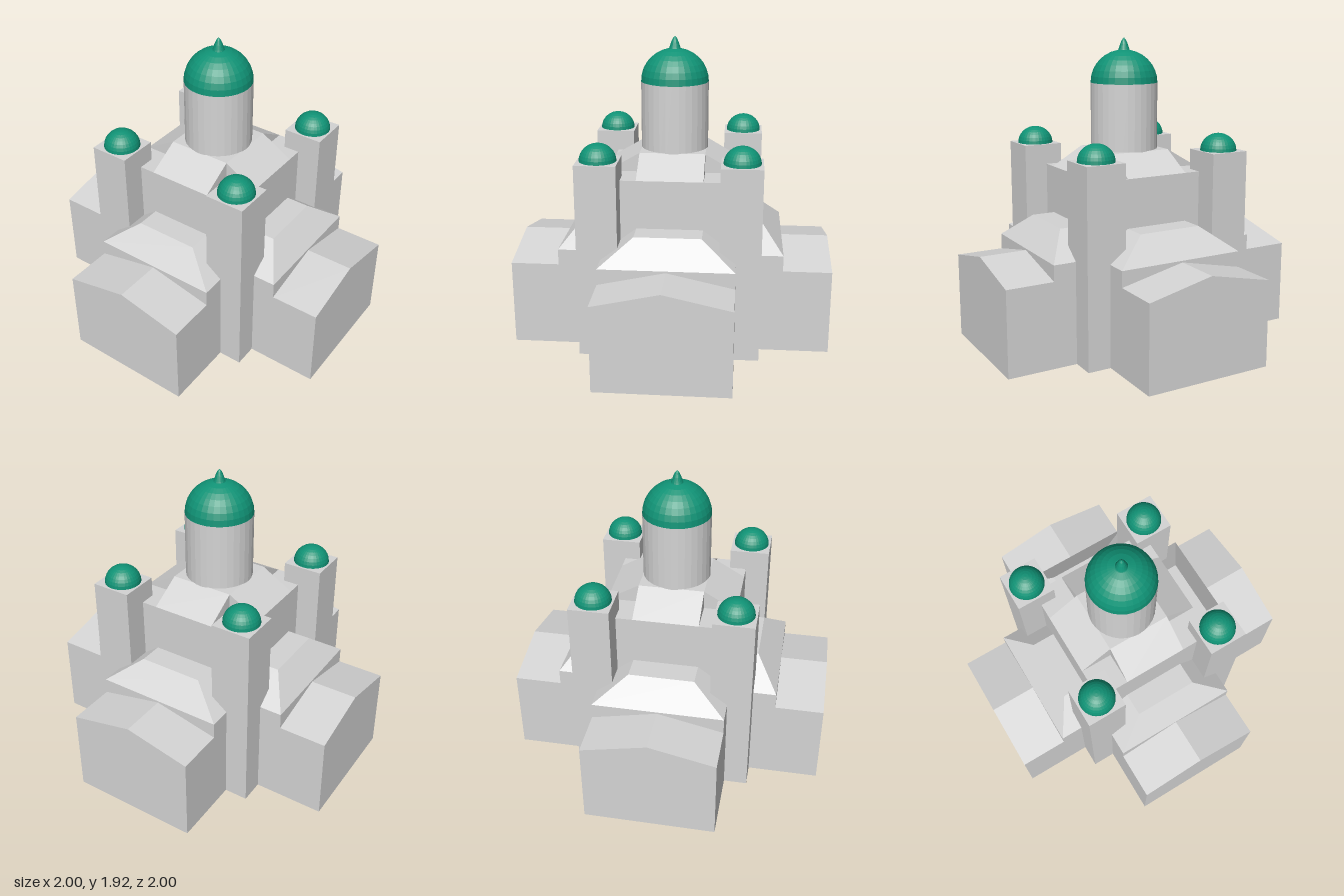
import * as THREE from 'three';

const stone = new THREE.MeshStandardMaterial({ color: 0xd4d4d4, flatShading: true });
stone.name = 'pale stone';
const green = new THREE.MeshStandardMaterial({ color: 0x109376, flatShading: true });
green.name = 'green copper';

function part(parent, name, geometry, material, x = 0, y = 0, z = 0) {
  const mesh = new THREE.Mesh(geometry, material);
  mesh.name = name;
  mesh.position.set(x, y, z);
  parent.add(mesh);
  return mesh;
}

// Box given by its limits
function block(parent, name, x0, x1, y0, y1, z0, z1) {
  return part(parent, name, new THREE.BoxGeometry(x1 - x0, y1 - y0, z1 - z0), stone,
    (x0 + x1) / 2, (y0 + y1) / 2, (z0 + z1) / 2);
}

// Tapered solid between two rectangles, each [x0, x1, z0, z1]
function taper(bottom, top, y0, y1) {
  const geometry = new THREE.BoxGeometry(1, 1, 1);
  const p = geometry.attributes.position;
  for (let i = 0; i < p.count; i++) {
    const r = p.getY(i) > 0 ? top : bottom;
    p.setXYZ(i, p.getX(i) > 0 ? r[1] : r[0], p.getY(i) > 0 ? y1 : y0, p.getZ(i) > 0 ? r[3] : r[2]);
  }
  geometry.computeVertexNormals();
  return geometry;
}

function dome(radius, height, segments, rows) {
  return new THREE.SphereGeometry(radius, segments, rows, 0, Math.PI * 2, 0, Math.PI / 2)
    .scale(1, height / radius, 1);
}

export function createModel() {
  const model = new THREE.Group();
  model.name = 'domedChurch';
  const W = 0.41; // half width of the core and the arms

  block(model, 'core', -W, W, 0, 1.1, -W, W);

  // Four equal arms: gabled porch, shoulder block and hipped roof
  const gable = new THREE.Shape([
    [-W, 0], [W, 0], [W, 0.54], [0, 0.63], [-W, 0.54],
  ].map(([x, y]) => new THREE.Vector2(x, y)));
  const porchGeometry = new THREE.ExtrudeGeometry(gable, { depth: 0.3, bevelEnabled: false });
  const hipGeometry = taper([-W, W, 0.38, 0.7], [-0.205, 0.205, 0.38, 0.56], 0.64, 0.795);
  for (let i = 0; i < 4; i++) {
    const arm = new THREE.Group();
    arm.name = 'arm';
    arm.rotation.y = i * Math.PI / 2;
    part(arm, 'gabledPorch', porchGeometry, stone, 0, 0, 0.7);
    block(arm, 'armShoulder', -W, W, 0, 0.64, W, 0.7);
    part(arm, 'hippedRoof', hipGeometry, stone);
    model.add(arm);
  }

  // Crossing roof: two sloped prisms over the core
  const slope = taper([-0.205, 0.205, -W, W], [-0.205, 0.205, -0.205, 0.205], 1.1, 1.22);
  for (const turn of [0, Math.PI / 2]) part(model, 'crossingRoof', slope, stone).rotation.y = turn;

  // Corner towers with small domes
  for (const sx of [-1, 1]) {
    for (const sz of [-1, 1]) {
      const tower = new THREE.Group();
      tower.name = 'cornerTower';
      tower.position.set(sx * 0.432, 0, sz < 0 ? -0.436 : 0.43);
      block(tower, 'towerShaft', -0.126, 0.126, 0, 1.23, -0.126, 0.126);
      part(tower, 'towerDome', dome(0.113, 0.107, 32, 8), green, 0, 1.23, 0);
      model.add(tower);
    }
  }

  // Central drum, main dome and flared finial
  part(model, 'drum', new THREE.CylinderGeometry(0.213, 0.213, 0.54, 32), stone, 0, 1.37, 0);
  part(model, 'mainDome', dome(0.213, 0.205, 32, 8), green, 0, 1.64, 0);
  const finial = [[0.042, 1.83], [0.034, 1.85], [0.024, 1.88], [0.013, 1.905], [0, 1.92]]
    .map(([r, y]) => new THREE.Vector2(r, y));
  part(model, 'finial', new THREE.LatheGeometry(finial, 16), green);

  return model;
}
